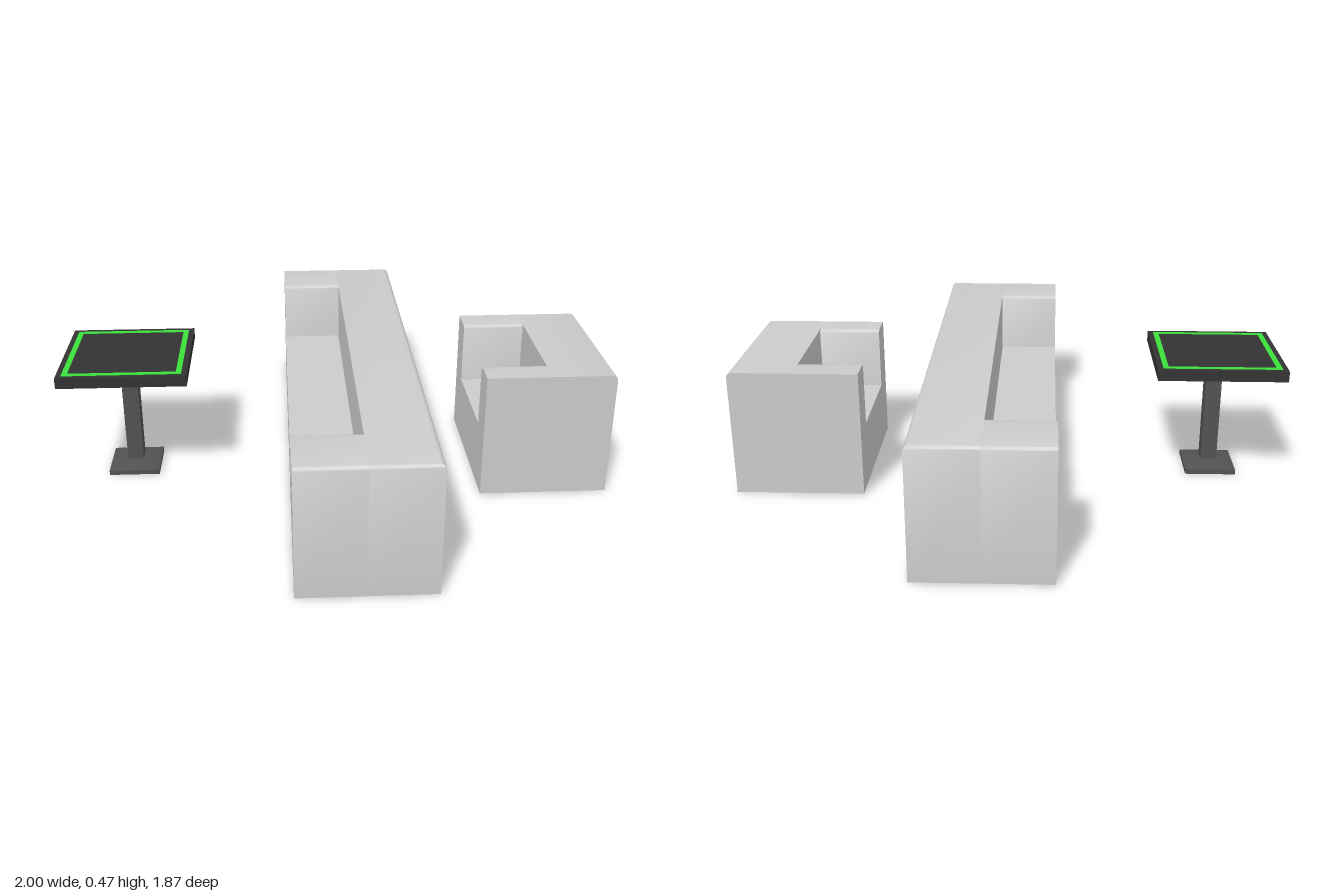
import * as THREE from 'three';
import { toCreasedNormals } from 'three/addons/utils/BufferGeometryUtils.js';

const grey = new THREE.MeshStandardMaterial({ color: 0xcccccc });
const black = new THREE.MeshStandardMaterial({ color: 0x333333 });
const steel = new THREE.MeshStandardMaterial({ color: 0x525252 });
const green = new THREE.MeshStandardMaterial({ color: 0x3ae03a });

// Solid through stacked rectangles, each [x0, x1, z0, z1, y], bottom to top.
function loft(rings) {
  const pos = [], idx = [];
  for (const [x0, x1, z0, z1, y] of rings) {
    pos.push(x0, y, z1, x1, y, z1, x1, y, z0, x0, y, z0);
  }
  for (let i = 0; i < rings.length - 1; i++) {
    for (let k = 0; k < 4; k++) {
      const a = i * 4 + k, b = i * 4 + (k + 1) % 4;
      idx.push(a, b, b + 4, a, b + 4, a + 4);
    }
  }
  const t = (rings.length - 1) * 4;
  idx.push(t, t + 1, t + 2, t, t + 2, t + 3, 0, 2, 1, 0, 3, 2);
  const geo = new THREE.BufferGeometry();
  geo.setAttribute('position', new THREE.Float32BufferAttribute(pos, 3));
  geo.setIndex(idx);
  return toCreasedNormals(geo, 0.6);
}

// Upholstered block; round = [x0, x1, z0, z1] flags for rounded top edges.
function block(x0, x1, z0, z1, h, round = [0, 0, 0, 0], r = 0.018) {
  const rings = [[x0, x1, z0, z1, 0.003]];
  if (!round.some(Boolean)) rings.push([x0, x1, z0, z1, h]);
  else for (let i = 0; i <= 4; i++) {
    const a = (i / 4) * Math.PI / 2, d = r * (1 - Math.cos(a));
    rings.push([x0 + d * round[0], x1 - d * round[1], z0 + d * round[2],
      z1 - d * round[3], h - r + r * Math.sin(a)]);
  }
  return loft(rings);
}

function add(group, name, geo, mat = grey) {
  const mesh = new THREE.Mesh(geo, mat);
  mesh.name = name;
  group.add(mesh);
  return mesh;
}

// Back, seat and two arms in a U, open towards -x.
function seating(name, x0, xm, x1, half, inner, endRound) {
  const g = new THREE.Group(), h = 0.47;
  g.name = name;
  add(g, 'backrest', block(xm, x1, -half, half, h, [0, 1, endRound, endRound]));
  add(g, 'seat', block(x0, xm, -inner, inner, 0.238));
  add(g, 'frontArm', block(x0, xm, inner, half, h, [0, 0, 1, endRound]));
  add(g, 'rearArm', block(x0, xm, -half, -inner, h, [0, 0, endRound, 1]));
  return g;
}

function table() {
  const g = new THREE.Group();
  g.name = 'table';
  add(g, 'tableTop', new THREE.BoxGeometry(0.465, 0.04, 0.465), black).position.y = 0.449;

  // Coloured inlay frame on the top
  const square = (C, s) => new C([[-s, -s], [s, -s], [s, s], [-s, s]]
    .map(([x, y]) => new THREE.Vector2(x, y)));
  const frame = square(THREE.Shape, 0.213);
  frame.holes.push(square(THREE.Path, 0.193));
  const inlay = add(g, 'inlayFrame',
    new THREE.ExtrudeGeometry(frame, { depth: 0.002, bevelEnabled: false }), green);
  inlay.rotation.x = -Math.PI / 2;
  inlay.position.y = 0.4685;

  add(g, 'column', new THREE.BoxGeometry(0.06, 0.41, 0.06), steel).position.y = 0.225;

  // Foot plate with a shallow sloped top
  const ring = (s, y) => [-s, s, -s, s, y];
  add(g, 'foot', loft([ring(0.095, 0), ring(0.095, 0.018), ring(0.03, 0.034)]), steel);
  g.position.set(-0.7675, 0, -0.002);
  return g;
}

export function createModel() {
  const model = new THREE.Group();
  model.name = 'loungeSet';
  model.add(seating('sofa', -0.173, 0.06, 0.295, 0.935, 0.705, 1));
  const chair = seating('armchair', 0.53, 0.765, 1.0, 0.313, 0.198, 0);
  chair.position.z = -0.002;
  model.add(chair, table());
  return model;
}
